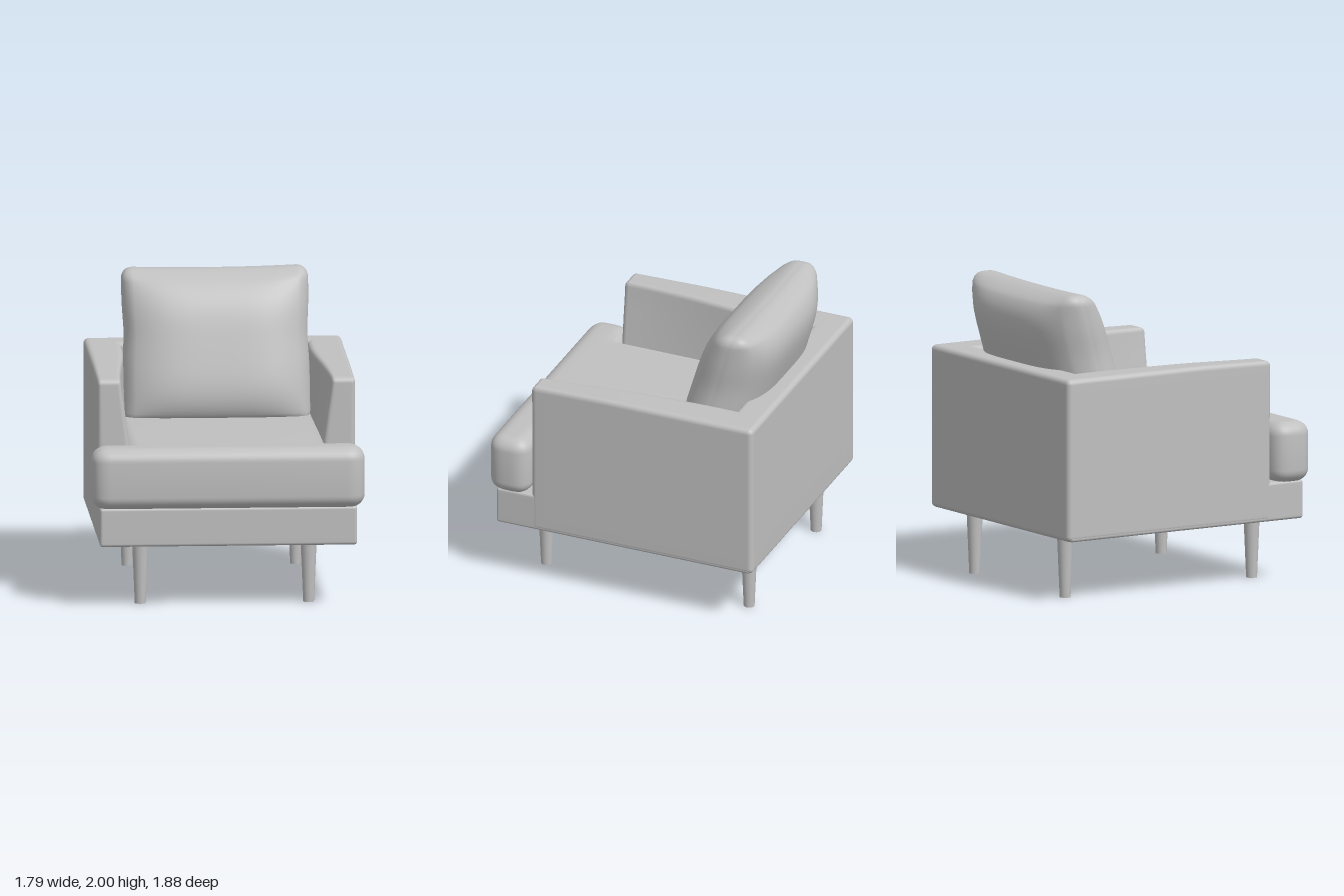
import * as THREE from 'three';
import { mergeVertices, toCreasedNormals } from 'three/addons/utils/BufferGeometryUtils.js';

const clamp = THREE.MathUtils.clamp;

// Box between two corners with rounded edges; 'bend' may move each vertex by a rule.
function softBox(min, max, r, n, bend) {
  const lo = new THREE.Vector3(...min), hi = new THREE.Vector3(...max);
  const innerLo = lo.clone().addScalar(r), innerHi = hi.clone().addScalar(-r);
  const k = 4; // grid steps inside each rounded edge
  const grid = (u, a, b) => {
    const i = Math.round((u + 0.5) * n);
    if (i <= k) return a + (r * i) / k;
    if (i >= n - k) return b - (r * (n - i)) / k;
    return a + r + ((b - a - 2 * r) * (i - k)) / (n - 2 * k);
  };
  let geo = new THREE.BoxGeometry(1, 1, 1, n, n, n);
  geo.deleteAttribute('uv');
  geo.deleteAttribute('normal');
  geo = mergeVertices(geo);
  const pos = geo.attributes.position;
  const p = new THREE.Vector3(), inner = new THREE.Vector3();
  for (let i = 0; i < pos.count; i++) {
    p.set(grid(pos.getX(i), lo.x, hi.x), grid(pos.getY(i), lo.y, hi.y), grid(pos.getZ(i), lo.z, hi.z));
    inner.copy(p).clamp(innerLo, innerHi);
    p.sub(inner).setLength(r).add(inner);
    if (bend) bend(p);
    pos.setXYZ(i, p.x, p.y, p.z);
  }
  geo.computeVertexNormals();
  return geo;
}

// T-shaped outline of the seat cushion, drawn with y pointing to the front.
function seatShape() {
  const body = 0.68, wing = 0.895, back = -0.8, neck = 0.645, front = 0.935, r = 0.125;
  const s = new THREE.Shape();
  s.moveTo(-body, back);
  s.lineTo(body, back);
  s.lineTo(body, neck);
  s.lineTo(wing - r, neck);
  s.quadraticCurveTo(wing, neck, wing, neck + r);
  s.lineTo(wing, front - r);
  s.quadraticCurveTo(wing, front, wing - r, front);
  s.lineTo(-wing + r, front);
  s.quadraticCurveTo(-wing, front, -wing, front - r);
  s.lineTo(-wing, neck + r);
  s.quadraticCurveTo(-wing, neck, -wing + r, neck);
  s.lineTo(-body, neck);
  s.closePath();
  return s;
}

export function createModel() {
  const chair = new THREE.Group();
  chair.name = 'armchair';
  const fabric = new THREE.MeshStandardMaterial({ color: 0xc0c0c0 });
  fabric.name = 'light grey';
  const add = (name, geo) => {
    const mesh = new THREE.Mesh(geo, fabric);
    mesh.name = name;
    chair.add(mesh);
    return mesh;
  };

  // Frame: base and back
  add('base', softBox([-0.843, 0.41, -0.92], [0.843, 0.667, 0.885], 0.02, 14));
  add('back', softBox([-0.78, 0.41, -0.94], [0.78, 1.488, -0.73], 0.035, 14));

  // Arms: the inner face slopes outward towards the top front
  for (const side of [1, -1]) {
    const x = side > 0 ? [0.61, 0.845] : [-0.845, -0.61];
    add(side > 0 ? 'leftArm' : 'rightArm',
      softBox([x[0], 0.41, -0.94], [x[1], 1.488, 0.635], 0.035, 24, (p) => {
        const inward = clamp((0.845 - Math.abs(p.x)) / 0.235, 0, 1);
        const forward = THREE.MathUtils.smoothstep(p.z, -0.6, 0.7);
        const up = clamp((p.y - 0.95) / 0.5, 0, 1);
        p.x += side * inward * forward * (0.012 + 0.068 * up);
        if (p.y > 1.3) p.y -= 0.012 * clamp((p.z - 0.1) / 0.53, 0, 1);
      }));
  }

  // Seat cushion with a straight band and crowned edges
  const seat = new THREE.ExtrudeGeometry(seatShape(), {
    depth: 0.23, bevelThickness: 0.088, bevelSize: 0.1, bevelOffset: -0.1,
    bevelSegments: 8, curveSegments: 10,
  });
  seat.rotateX(Math.PI / 2);
  seat.translate(0, 0.972, 0);
  add('seatCushion', toCreasedNormals(seat, 0.7));

  // Back cushion: a leaning slab, puffed at the front and rear
  add('backCushion', softBox([-0.612, 1.01, -0.1], [0.612, 2.0, 0.1], 0.075, 36, (p) => {
    const s = (p.y - 1.505) / 0.495, t = p.x / 0.612;
    const puff = Math.max(0, (1 - s ** 4) * (1 - t ** 4));
    p.z += p.z * 10 * puff * (p.z > 0 ? 0.15 : 0.19);
    p.z += -0.40 - 0.29 * (p.y - 1.0);
    p.x *= 1 - 0.018 * Math.exp(-(((p.y - 1.58) / 0.14) ** 2));
    p.y -= 0.016 * clamp(s, 0, 1) * (1 - t * t) + 0.006 * clamp(-t, 0, 1) * clamp(s, 0, 1);
  }));

  // Tapered legs
  const leg = new THREE.CylinderGeometry(0.054, 0.036, 0.43, 24);
  for (const [end, z] of [['front', 0.657], ['back', -0.787]])
    for (const [side, x] of [['Left', 0.538], ['Right', -0.566]])
      add(`${end}${side}Leg`, leg).position.set(x, 0.215, z);

  return chair;
}
